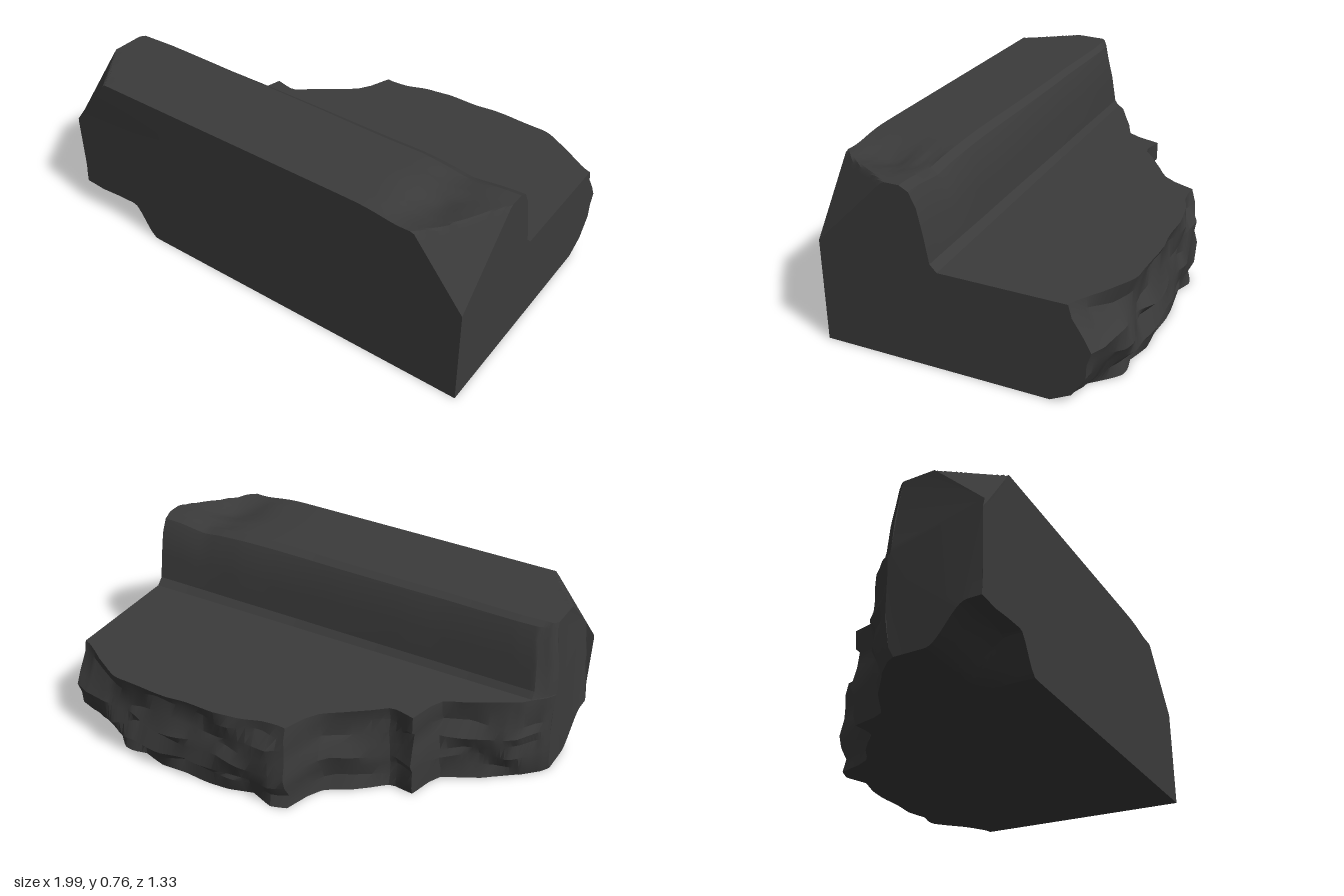
import * as THREE from 'three';
import { toCreasedNormals } from 'three/addons/utils/BufferGeometryUtils.js';

const { lerp, smoothstep, clamp } = THREE.MathUtils;
const TOP = 0.765, LEDGE = 0.43, STATIONS = 90;

// Plan of the broken back edge: x, z
const BREAK = [
  [-1, 0.27], [-0.97, 0.21], [-0.9, 0.13], [-0.8, 0.07], [-0.7, 0], [-0.62, -0.05], [-0.59, -0.12],
  [-0.575, -0.205], [-0.47, -0.2], [-0.4, -0.265], [-0.25, -0.385], [-0.21, -0.45], [-0.185, -0.57],
  [-0.1, -0.6], [0, -0.605], [0.2, -0.632], [0.5, -0.655], [0.85, -0.668], [0.93, -0.655],
];

function breakLine(x) {
  for (let i = 1; i < BREAK.length; i++) {
    const [x0, z0] = BREAK[i - 1], [x1, z1] = BREAK[i];
    if (x <= x1) return lerp(z0, z1, clamp((x - x0) / (x1 - x0), 0, 1));
  }
  return BREAK.at(-1)[1];
}

// Repeatable noise, 0 to 1: random per whole step of u and per row, straight in between
function hash(i, j) {
  const s = Math.sin(i * 127.1 + j * 311.7) * 43758.5453;
  return s - Math.floor(s);
}
function noise(u, row) {
  const i = Math.floor(u);
  return lerp(hash(i, row), hash(i + 1, row), u - i);
}

// Planes that cut the two upper front corners
const plane = (...p) => new THREE.Plane().setFromCoplanarPoints(...p.map((c) => new THREE.Vector3(...c)));
const CHIPS = [
  plane([0.78, 0.735, 0.56], [0.96, 0.755, 0.27], [0.99, 0.46, 0.55]),
  plane([-0.95, 0.765, 0.43], [-0.78, 0.765, 0.65], [-0.99, 0.5, 0.66]),
];
const planeY = (p, x, z) => -(p.normal.x * x + p.normal.z * z + p.constant) / p.normal.y;

// One L-shaped cross-section, from the bottom front, over the top and round to the bottom
function section(i) {
  // stations are closer together towards both ends
  const u = i / STATIONS, t = u - 0.1 * Math.sin(2 * Math.PI * u), xn = -1 + 2 * t;
  const front = 0.605 - 0.055 * xn;
  const xb = -0.99 + 1.91 * t, back = breakLine(xb);
  const corner = smoothstep(xb, 0.6, 0.92);
  const scoop = 0.05 * Math.exp(-(((xb + 0.1) / 0.1) ** 2));
  const edge = back + 0.13 * corner + scoop + 0.012 * noise(xb * 14, 50);
  const foot = back + 0.01 + 0.18 * corner + 0.05 * noise(xb * 9, 70);
  const ring = [];
  const add = (z, y) => ring.push([z, y]);

  // front face
  for (let k = 0; k <= 24; k++) add(front, (TOP * k) / 24);
  // top face
  const wobble = 0.014 * (noise(xb * 6, 9) - 0.5);
  const crest = Math.max(0.215 - 0.05 * xn, edge + 0.03) + wobble;
  for (let k = 1; k <= 24; k++) add(lerp(front, crest, k / 24), TOP);
  // riser with a rounded crest and a small fillet at its base
  const base = Math.max(0.1 - 0.08 * xn, edge + 0.01);
  for (const [f, y] of [[0.27, 0.745], [0.48, 0.685], [0.64, 0.58], [0.79, 0.46], [1, LEDGE]]) {
    add(lerp(crest, base, f), y);
  }
  // ledge
  for (let k = 1; k <= 8; k++) add(lerp(base, edge, k / 8), LEDGE);
  // broken back, standing out furthest at mid height
  for (let k = 1; k < 7; k++) {
    const v = k / 7, bulge = Math.sin(Math.PI * v);
    const rough = 0.055 * noise(xb * 8 + k * 0.4, k) - 0.02;
    const z = lerp(edge, foot, v) + bulge * (back - lerp(edge, foot, v)) * 0.8;
    add(z + rough * Math.min(1, i / 6), LEDGE * (1 - v) + 0.05 * (noise(xb * 7, k + 40) - 0.5));
  }
  // underside
  for (let k = 0; k < 24; k++) add(lerp(foot, front, k / 24), 0);

  return ring.map(([z, y0], j) => {
    let y = y0;
    const left = -0.99 + 0.04 * smoothstep(y, 0.48, TOP) - 0.008 * smoothstep(0.25 - y, 0, 0.1);
    const x = lerp(left, 0.963 + 0.06 * z, t);
    // shallow worn hollow in the top
    if (y > 0.6) {
      const g = Math.exp(-(((x - 0.74) / 0.13) ** 2));
      y -= g * (0.018 + 0.025 * Math.exp(-(((z - 0.38) / 0.12) ** 2)) + 0.01 * (noise(x * 12, j >> 2) - 0.5));
    }
    for (const p of CHIPS) y = Math.min(y, planeY(p, x, z));
    // notch under the lower left front corner
    const depth = front - z;
    const cut = (1 - smoothstep(x, -0.7, -0.58)) * (1 - smoothstep(depth, 0.06, 0.23));
    y = Math.max(y, cut * (0.135 + 0.02 * noise(x * 10, 3)));
    return [x, y, z];
  });
}

function stoneGeometry() {
  const rings = [];
  for (let i = 0; i <= STATIONS; i++) rings.push(section(i));
  const n = rings[0].length;
  const index = [];
  for (let i = 0; i < STATIONS; i++) {
    for (let j = 0; j < n; j++) {
      const k = (j + 1) % n;
      const a = i * n + j, b = i * n + k, c = b + n, d = a + n;
      index.push(a, d, c, a, c, b);
    }
  }
  // end faces
  for (const [i, sign] of [[0, -1], [STATIONS, 1]]) {
    const outline = rings[i].map(([, y, z]) => new THREE.Vector2(z, y));
    for (const [a, b, c] of THREE.ShapeUtils.triangulateShape(outline, [])) {
      // positive area in (z, y) means the face looks towards -x
      const area = THREE.ShapeUtils.area([outline[a], outline[b], outline[c]]);
      const o = i * n;
      if (area * sign < 0) index.push(o + a, o + b, o + c);
      else index.push(o + a, o + c, o + b);
    }
  }
  const geometry = new THREE.BufferGeometry();
  geometry.setAttribute('position', new THREE.Float32BufferAttribute(rings.flat(2), 3));
  geometry.setIndex(index);
  return toCreasedNormals(geometry, 0.4);
}

export function createModel() {
  const group = new THREE.Group();
  group.name = 'brokenSteppedBlock';
  const stone = new THREE.Mesh(stoneGeometry(), new THREE.MeshStandardMaterial({ color: 0x3b3b3b }));
  stone.name = 'stoneBlock';
  group.add(stone);
  return group;
}
